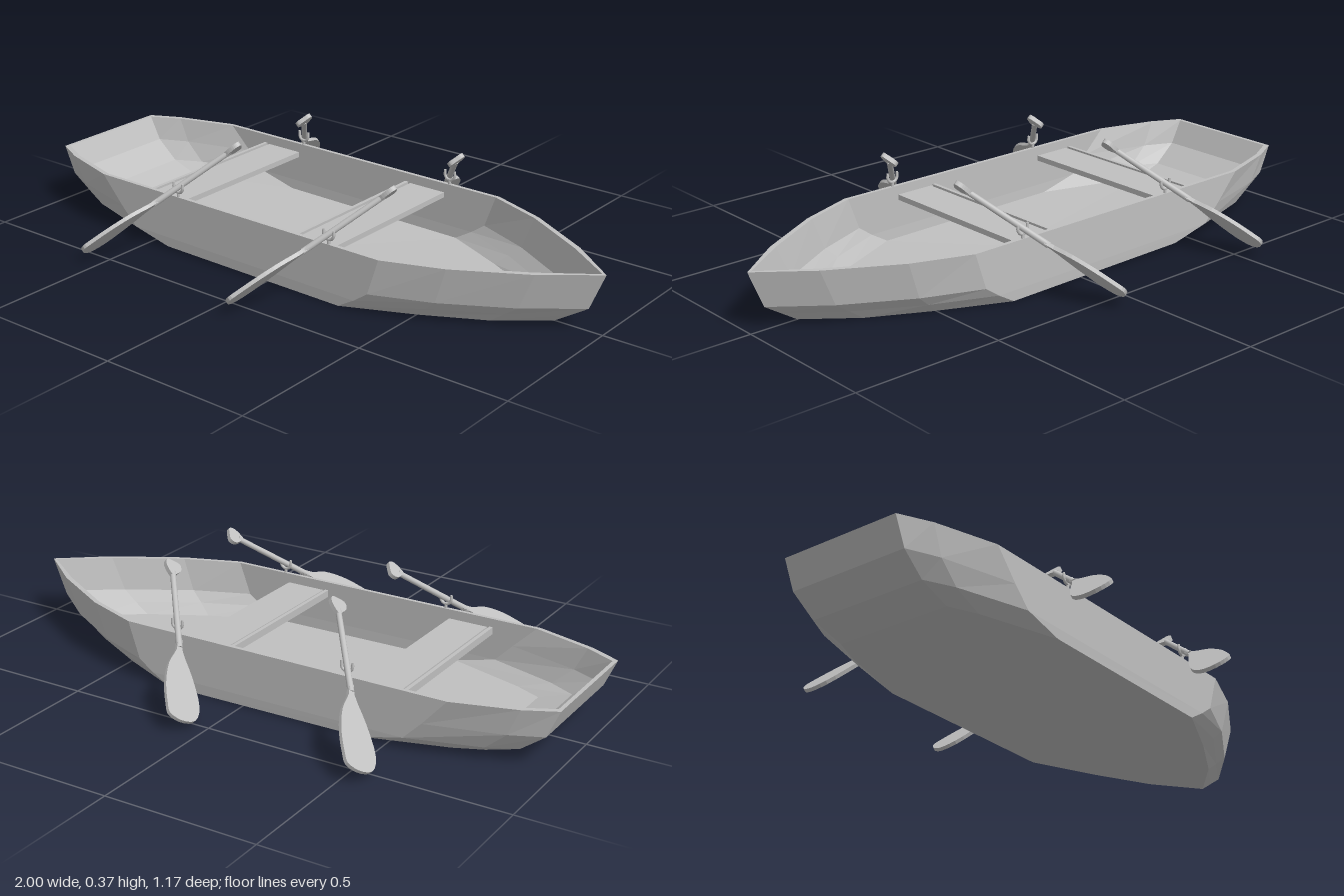
import * as THREE from 'three';

const grey = new THREE.MeshStandardMaterial({ color: 0xc0c0c0 });
grey.name = 'light grey';

function add(parent, geometry, name) {
  const mesh = new THREE.Mesh(geometry, grey);
  mesh.name = name;
  parent.add(mesh);
  return mesh;
}

// Hull levels from gunwale to keel: height at stern and bow,
// then half outline (x, half width) from transom corner to bow tip
const LEVELS = [
  { stern: 0.19, bow: 0.19, pts: [[-1, 0.21], [-0.9, 0.26], [-0.7, 0.32], [0.43, 0.32], [0.62, 0.25], [0.84, 0.125], [1, 0]] },
  { stern: 0.10, bow: 0.07, pts: [[-0.96, 0.21], [-0.86, 0.255], [-0.62, 0.32], [0.39, 0.32], [0.58, 0.245], [0.79, 0.125], [0.95, 0]] },
  { stern: 0.04, bow: 0.035, pts: [[-0.88, 0.205], [-0.79, 0.25], [-0.56, 0.32], [0.34, 0.32], [0.54, 0.235], [0.74, 0.12], [0.895, 0]] },
  { stern: 0.006, bow: 0, pts: [[-0.77, 0.2], [-0.68, 0.24], [-0.42, 0.318], [0.28, 0.318], [0.5, 0.22], [0.69, 0.12], [0.84, 0]] },
];

// Closed loop of one level, optionally moved inwards by the wall thickness
function ring(level, inset = 0) {
  const half = level.pts.map(([x, w], i) => {
    const y = (i < 3 ? level.stern : level.bow) + (level === LEVELS[0] ? 0 : inset);
    return [x * (1 - inset), y, Math.max(0, w - inset)];
  });
  const mirrored = half.slice(0, -1).reverse().map(([x, y, z]) => [x, y, -z]);
  return [...half, ...mirrored];
}

function hullGeometry() {
  const wall = 0.013;
  const outer = LEVELS.map((l) => ring(l)).reverse();
  const inner = LEVELS.map((l) => ring(l, wall));
  const point = (y) => outer[0].map(() => [0, y, 0]);
  const rings = [point(0), ...outer, ...inner, point(wall)];
  const pos = [];
  for (let r = 0; r < rings.length - 1; r++) {
    const a = rings[r], b = rings[r + 1], n = a.length;
    for (let i = 0; i < n; i++) {
      const j = (i + 1) % n;
      if (r < rings.length - 2) pos.push(...a[i], ...b[j], ...b[i]);
      if (r > 0) pos.push(...a[i], ...a[j], ...b[j]);
    }
  }
  const g = new THREE.BufferGeometry();
  g.setAttribute('position', new THREE.Float32BufferAttribute(pos, 3));
  g.computeVertexNormals();
  return g;
}

// Flat plate from a smooth outline drawn in the (z, y) plane, leaning along x = y
function leaningPlate(points, depth) {
  const curve = new THREE.CatmullRomCurve3(points.map(([z, y]) => new THREE.Vector3(z, y, 0)), true);
  const shape = new THREE.Shape(curve.getPoints(36).map((p) => new THREE.Vector2(p.x, p.y)));
  const g = new THREE.ExtrudeGeometry(shape, { depth, bevelEnabled: false });
  g.translate(0, 0, -depth / 2);
  const k = Math.SQRT1_2;
  g.applyMatrix4(new THREE.Matrix4().makeBasis(
    new THREE.Vector3(0, 0, 1), new THREE.Vector3(1, 1, 0), new THREE.Vector3(-k, k, 0)));
  g.computeVertexNormals();
  return g;
}

function rod(a, b, r0, r1) {
  const dir = b.clone().sub(a);
  const g = new THREE.CylinderGeometry(r1, r0, dir.length(), 12);
  g.applyQuaternion(new THREE.Quaternion().setFromUnitVectors(new THREE.Vector3(0, 1, 0), dir.normalize()));
  const mid = a.clone().add(b).multiplyScalar(0.5);
  return g.translate(mid.x, mid.y, mid.z);
}

const BLADE = [[0.36, 0.188], [0.395, 0.172], [0.456, 0.156], [0.52, 0.122], [0.566, 0.084], [0.584, 0.063],
  [0.566, 0.037], [0.52, 0.019], [0.47, 0.037], [0.416, 0.1], [0.378, 0.162], [0.35, 0.183]];
const GRIP = [[0.2, 0.322], [0.193, 0.352], [0.175, 0.361], [0.158, 0.35], [0.145, 0.335], [0.155, 0.323], [0.185, 0.32]];

// Oar with its rowlock on the +z gunwale
function makeOar() {
  const oar = new THREE.Group();
  oar.name = 'oar';
  add(oar, leaningPlate(BLADE, 0.012), 'oarBlade');
  add(oar, leaningPlate(GRIP, 0.014), 'oarGrip');
  add(oar, rod(new THREE.Vector3(0.172, 0.172, 0.375), new THREE.Vector3(0.33, 0.33, 0.185), 0.01, 0.009), 'oarShaft');

  const lock = new THREE.Group();
  lock.name = 'rowlock';
  lock.position.set(0.222, 0, 0.314);
  add(lock, new THREE.CylinderGeometry(0.005, 0.005, 0.025, 8), 'rowlockPin').position.y = 0.195;
  const fork = add(lock, new THREE.TorusGeometry(0.019, 0.005, 8, 12, Math.PI), 'rowlockFork');
  fork.rotation.z = Math.PI;
  fork.position.y = 0.223;
  for (const s of [-1, 1]) {
    add(lock, new THREE.CylinderGeometry(0.004, 0.005, 0.014, 8), 'rowlockHorn').position.set(s * 0.019, 0.229, 0);
  }
  oar.add(lock);
  return oar;
}

export function createModel() {
  const boat = new THREE.Group();
  boat.name = 'rowingBoat';
  add(boat, hullGeometry(), 'hull');

  for (const x of [-0.54, 0.07]) {
    // Thwart: a broad plank with a narrow slat on the stern side
    const bench = new THREE.Group();
    bench.name = 'bench';
    bench.position.set(x, 0.15, 0);
    add(bench, new THREE.BoxGeometry(0.135, 0.018, 0.618), 'benchPlank').position.x = 0.0875;
    add(bench, new THREE.BoxGeometry(0.012, 0.024, 0.618), 'benchSlat').position.x = 0.006;
    boat.add(bench);

    // A pair of oars beside each bench
    for (const side of [1, -1]) {
      const oar = makeOar();
      oar.position.x = x - 0.05;
      oar.scale.z = side;
      boat.add(oar);
    }
  }
  return boat;
}
